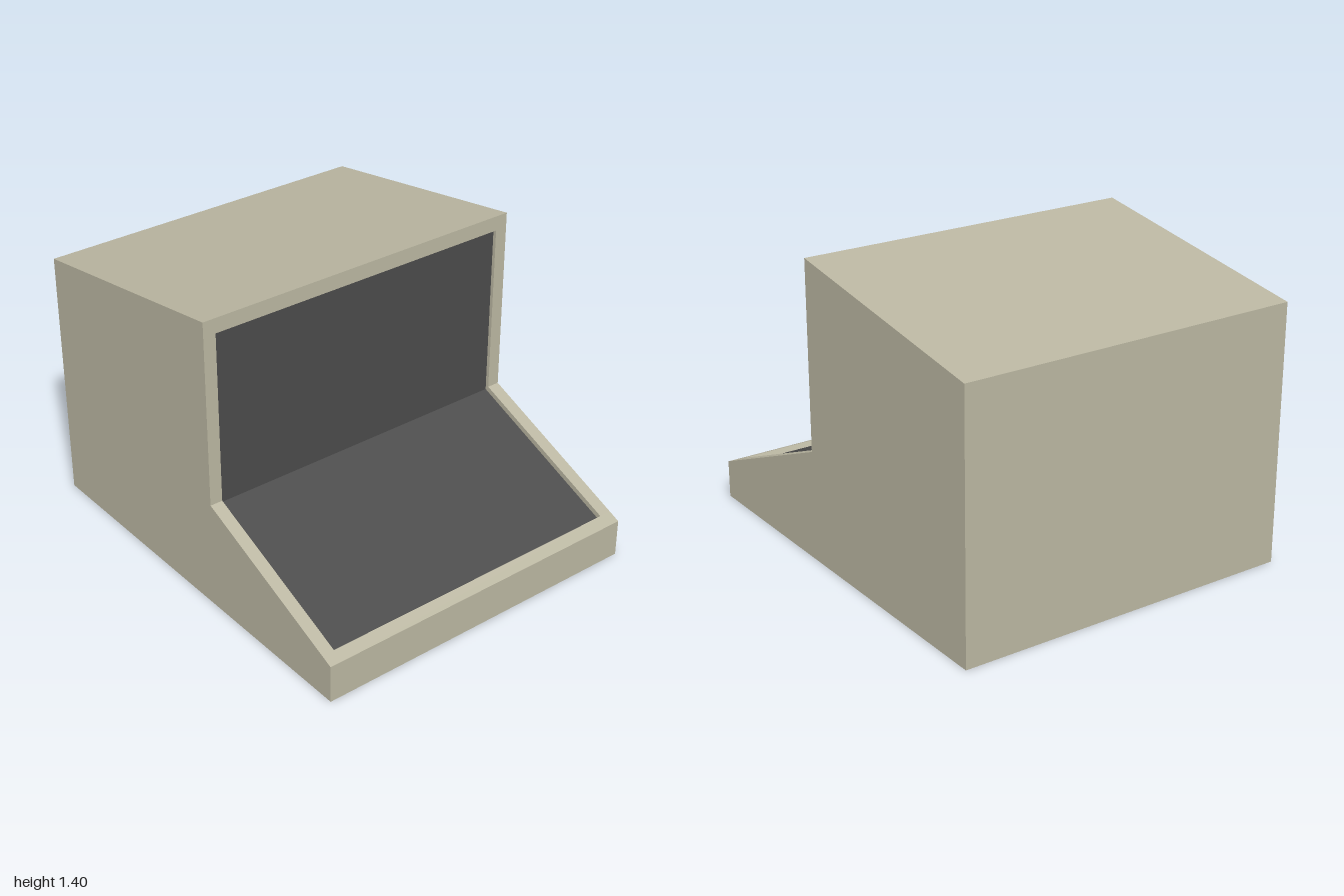
import * as THREE from 'three';

// Side profile points as [z, y]
const backLow = [-1, 0], frontLow = [1, 0], frontTop = [1, 0.18];
const crease = [0.18, 0.52], upperFront = [0.18, 1.4], backTop = [-1, 1.215];
// Opening edges on the surface, and the recessed panel corners behind them
const lipLow = [0.945, 0.203], lipHigh = [0.18, 1.33];
const innerLow = [0.935, 0.18], innerCrease = [0.163, 0.5], innerHigh = [0.163, 1.33];

const W = 0.82; // half width of the case
const O = 0.76; // half width of the opening

// Quad spanning x0..x1 along a profile edge a -> b
const strip = (a, b, x0 = -W, x1 = W) =>
  [[x0, a], [x1, a], [x1, b], [x0, b]].map(([x, [z, y]]) => [x, y, z]);

// Quad lying in a plane of constant x; flip turns it to face +x
const side = (x, pts, flip) => {
  const quad = pts.map(([z, y]) => [x, y, z]);
  return flip ? quad.reverse() : quad;
};

function quadMesh(name, quads, material) {
  const positions = quads.flatMap(([a, b, c, d]) => [a, b, c, a, c, d].flat());
  const geometry = new THREE.BufferGeometry();
  geometry.setAttribute('position', new THREE.Float32BufferAttribute(positions, 3));
  geometry.computeVertexNormals();
  const mesh = new THREE.Mesh(geometry, material);
  mesh.name = name;
  return mesh;
}

export function createModel() {
  const beige = new THREE.MeshStandardMaterial({ name: 'beige casing', color: 0xbab6a1 });
  const dark = new THREE.MeshStandardMaterial({ name: 'dark panel', color: 0x4a4a4a });
  const model = new THREE.Group();
  model.name = 'desktopTerminal';

  // Outer shell: base, front edge, top and back, plus both cheeks
  const shell = [
    strip(backLow, frontLow), strip(frontLow, frontTop),
    strip(upperFront, backTop), strip(backTop, backLow),
  ];
  for (const s of [-1, 1]) {
    shell.push(side(s * W, [backLow, frontLow, frontTop, crease], s > 0));
    shell.push(side(s * W, [backLow, crease, upperFront, backTop], s > 0));
  }
  model.add(quadMesh('casing', shell, beige));

  // Border around the opening
  const frame = [strip(frontTop, lipLow), strip(lipHigh, upperFront)];
  for (const [x0, x1] of [[-W, -O], [O, W]]) {
    frame.push(strip(lipLow, crease, x0, x1), strip(crease, lipHigh, x0, x1));
  }
  model.add(quadMesh('bezel', frame, beige));

  // Shallow walls stepping down to the panels
  const walls = [strip(lipLow, innerLow, -O, O), strip(innerHigh, lipHigh, -O, O)];
  for (const s of [-1, 1]) {
    walls.push(side(s * O, [lipLow, crease, innerCrease, innerLow], s < 0));
    walls.push(side(s * O, [crease, lipHigh, innerHigh, innerCrease], s < 0));
  }
  model.add(quadMesh('recessWalls', walls, beige));

  // Sloping keyboard deck and upright screen
  model.add(quadMesh('keyboardPanel', [strip(innerLow, innerCrease, -O, O)], dark));
  model.add(quadMesh('screenPanel', [strip(innerCrease, innerHigh, -O, O)], dark));
  return model;
}
